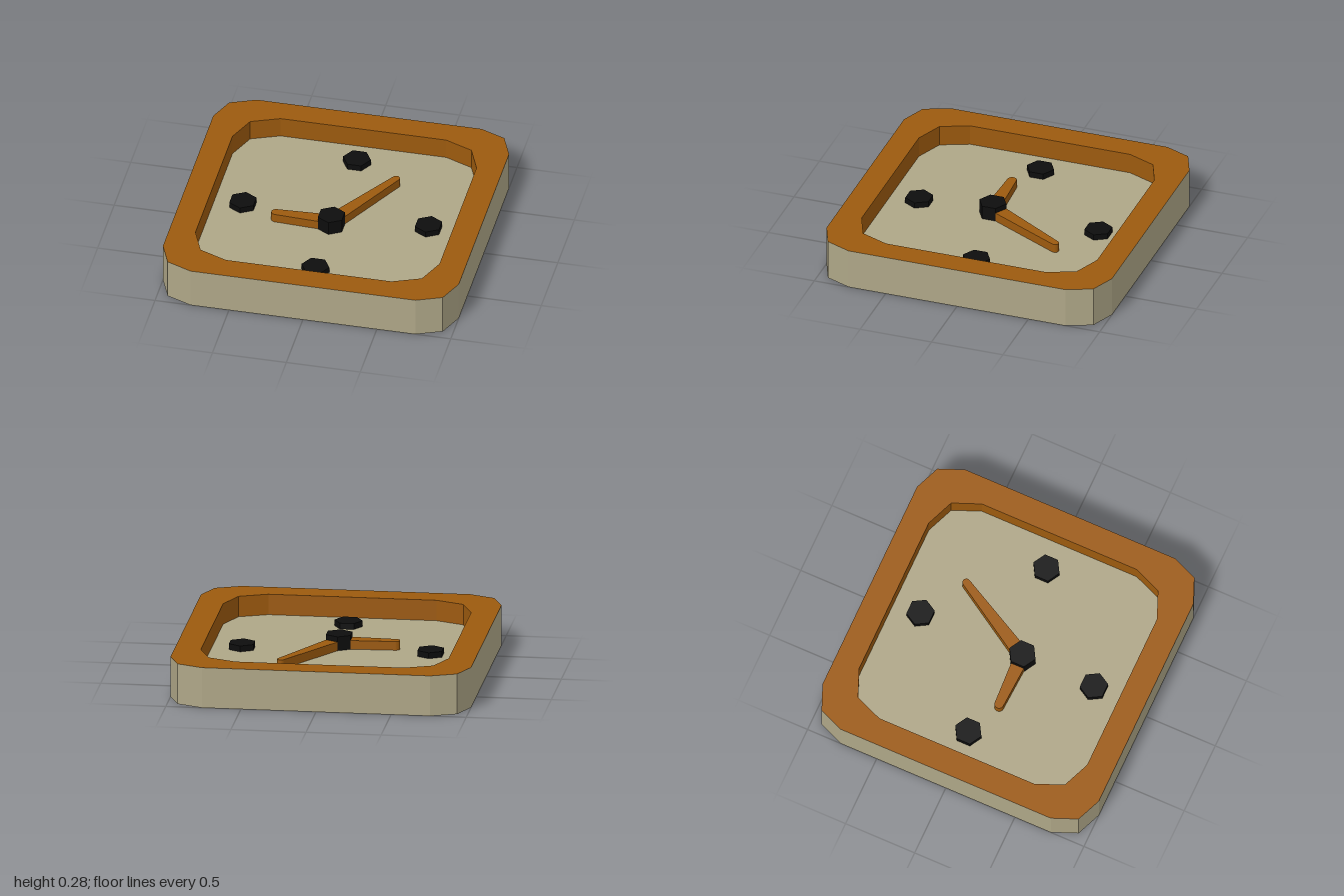
import * as THREE from 'three';

const FLOOR = 0.135, TOP = 0.275;

const paint = (color) => new THREE.MeshStandardMaterial({ color, flatShading: true });

// Closed counter-clockwise outline of a square with two-facet corners.
function outline(half, mid, flat) {
  const pts = [];
  for (let i = 0; i < 4; i++) {
    for (const [x, y] of [[half, flat], [mid, mid], [flat, half]]) {
      pts.push(new THREE.Vector2(x, y).rotateAround(new THREE.Vector2(), i * Math.PI / 2));
    }
  }
  return pts;
}

// Upright wall along an outline, facing outward for counter-clockwise points.
function wall(pts, y0, y1) {
  const pos = [];
  pts.forEach((a, i) => {
    const b = pts[(i + 1) % pts.length];
    pos.push(a.x, a.y, y0, b.x, b.y, y0, b.x, b.y, y1);
    pos.push(a.x, a.y, y0, b.x, b.y, y1, a.x, a.y, y1);
  });
  const g = new THREE.BufferGeometry();
  g.setAttribute('position', new THREE.Float32BufferAttribute(pos, 3));
  g.rotateX(-Math.PI / 2);
  g.computeVertexNormals();
  return g;
}

// Flat horizontal sheet at height y, facing up.
const sheet = (shape, y) => new THREE.ShapeGeometry(shape).rotateX(-Math.PI / 2).translate(0, y, 0);

export function createModel() {
  const model = new THREE.Group();
  model.name = 'clock';
  const beige = paint(0xaea687), orange = paint(0x9c5a0e), black = paint(0x0d0d0d);

  const add = (name, geometry, material, x = 0, y = 0, z = 0, turn = 0) => {
    const mesh = new THREE.Mesh(geometry, material);
    mesh.name = name;
    mesh.position.set(x, y, z);
    mesh.rotation.y = turn;
    model.add(mesh);
  };

  const outer = outline(1, 0.93, 0.76);
  const inner = outline(0.825, 0.748, 0.56);

  // Case: outer wall, back and recessed dial
  add('caseWall', wall(outer, 0, TOP), beige);
  add('caseBack', new THREE.ShapeGeometry(new THREE.Shape(outer)).rotateX(Math.PI / 2), beige);
  add('dial', sheet(new THREE.Shape(inner), FLOOR), beige);

  // Coloured rim and the inside wall of the recess
  const rim = new THREE.Shape(outer);
  rim.holes.push(new THREE.Path(inner));
  add('rim', sheet(rim, TOP), orange);
  add('rimInnerWall', wall([...inner].reverse(), FLOOR, TOP), orange);

  // Hour markers and centre hub, all hexagonal
  const hex = (h) => new THREE.CylinderGeometry(0.094, 0.094, h, 6);
  for (const [x, z, turn] of [[-0.63, 0, 0], [0.625, 0, 0], [0, -0.63, Math.PI / 6], [0, 0.625, Math.PI / 6]]) {
    add('hourMarker', hex(0.04), black, x, FLOOR + 0.02, z - 0.003, turn);
  }
  add('hub', hex(0.095), black, -0.007, FLOOR + 0.0475, 0.108);

  // Tapered hands with rounded tips, lying on the dial
  const hand = (length, base, tip) => {
    const s = new THREE.Shape();
    s.moveTo(0, -base);
    s.lineTo(length, -tip);
    s.absarc(length, 0, tip, -Math.PI / 2, Math.PI / 2, false);
    s.lineTo(0, base);
    s.closePath();
    return new THREE.ExtrudeGeometry(s, { depth: 0.06, bevelEnabled: false, curveSegments: 6 })
      .rotateX(-Math.PI / 2);
  };
  add('hourHand', hand(0.375, 0.05, 0.031), orange, -0.007, FLOOR, 0.108, Math.PI);
  add('minuteHand', hand(0.632, 0.05, 0.026), orange, -0.007, FLOOR, 0.108, Math.atan2(0.548, 0.315));

  return model;
}
